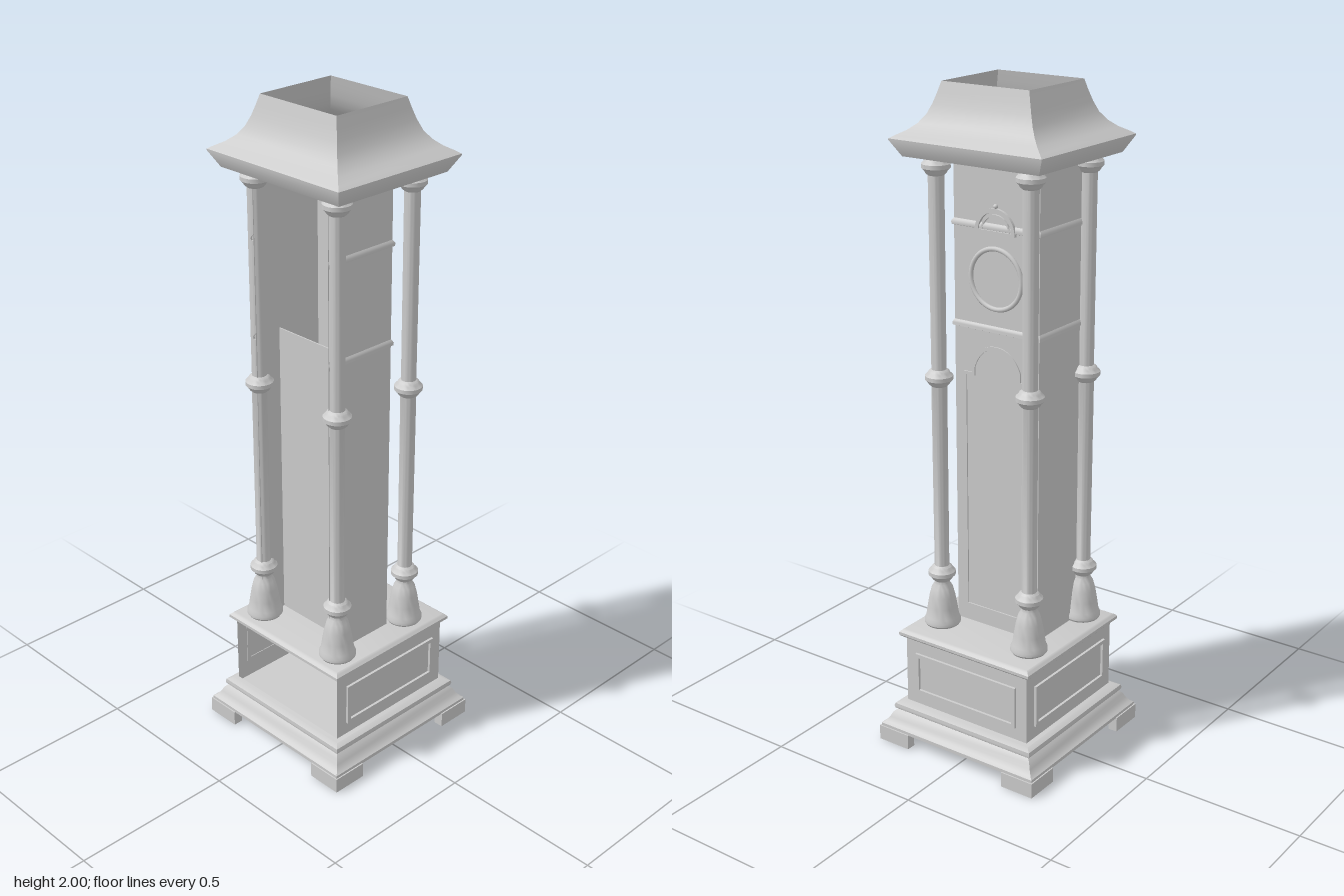
import * as THREE from 'three';
import { toCreasedNormals } from 'three/addons/utils/BufferGeometryUtils.js';

const grey = new THREE.MeshStandardMaterial({ color: 0xcccccc, side: THREE.DoubleSide });
const ROOF_X = -0.018; // the hood and columns sit slightly behind the plinth centre
const ALL = [0, 1, 2, 3];
const THREE_SIDES = [0, 1, 3]; // everything but the open -x side

function add(parent, name, geometry, x = 0, y = 0, z = 0) {
  const mesh = new THREE.Mesh(geometry, grey);
  mesh.name = name;
  mesh.position.set(x, y, z);
  parent.add(mesh);
  return mesh;
}

// Rectangular moulding with mitred corners: profile rows are [halfX, halfZ, y]
function rectShell(profile, sides = ALL) {
  const sx = [1, 1, -1, -1], sz = [1, -1, -1, 1];
  const pos = [], index = [];
  for (const k of sides) {
    const n = (k + 1) % 4, start = pos.length / 3;
    profile.forEach(([hx, hz, y], i) => {
      pos.push(sx[k] * hx, y, sz[k] * hz, sx[n] * hx, y, sz[n] * hz);
      if (i) {
        const a = start + 2 * (i - 1);
        index.push(a, a + 1, a + 3, a, a + 3, a + 2);
      }
    });
  }
  const g = new THREE.BufferGeometry();
  g.setAttribute('position', new THREE.Float32BufferAttribute(pos, 3));
  g.setIndex(index);
  return toCreasedNormals(g, 0.6);
}

const square = (rows) => rows.map(([h, y]) => [h, h, y]);

function extrude(shape, depth) {
  const g = new THREE.ExtrudeGeometry(shape, { depth, bevelEnabled: false, curveSegments: 24 });
  return toCreasedNormals(g, 0.6);
}

function rectPath(PathType, w, h) {
  return new PathType([[-w, -h], [w, -h], [w, h], [-w, h]].map(([x, y]) => new THREE.Vector2(x, y)));
}

// Door outline: straight sides, stepped shoulders and an arched head
function doorPath(PathType, inset) {
  const p = new PathType(), w = 0.115 - inset, s = 0.085 - inset;
  p.moveTo(-w, 0.42 + inset);
  p.lineTo(w, 0.42 + inset);
  p.lineTo(w, 1.17 - inset);
  p.lineTo(s, 1.17 - inset);
  p.lineTo(s, 1.195 - inset);
  p.quadraticCurveTo(s * 0.7, 1.26 - inset, 0, 1.26 - inset);
  p.quadraticCurveTo(-s * 0.7, 1.26 - inset, -s, 1.195 - inset);
  p.lineTo(-s, 1.17 - inset);
  p.lineTo(-w, 1.17 - inset);
  p.closePath();
  return p;
}

function halfRing(outer, inner) {
  const s = new THREE.Shape();
  s.absarc(0, 0, outer, 0, Math.PI, false);
  s.absarc(0, 0, inner, Math.PI, 0, true);
  s.closePath();
  return s;
}

function buildPlinth() {
  const plinth = new THREE.Group();
  plinth.name = 'plinth';

  // L-shaped bracket feet
  const foot = new THREE.Shape([[0.285, 0.285], [0.175, 0.285], [0.175, 0.255], [0.255, 0.255],
    [0.255, 0.175], [0.285, 0.175]].map(([x, y]) => new THREE.Vector2(x, y)));
  for (let i = 0; i < 4; i++) {
    const mesh = add(plinth, 'bracketFoot', extrude(foot, 0.047));
    mesh.rotation.set(-Math.PI / 2, 0, i * Math.PI / 2);
  }

  // Flared skirt and its lip
  add(plinth, 'skirt', rectShell(square([[0.25, 0.045], [0.281, 0.045], [0.281, 0.056], [0.272, 0.062],
    [0.262, 0.075], [0.255, 0.09], [0.245, 0.1], [0.25, 0.104], [0.252, 0.112], [0.25, 0.12],
    [0.235, 0.127], [0.222, 0.13]])));
  add(plinth, 'floor', new THREE.BoxGeometry(0.46, 0.008, 0.46), 0, 0.11, 0);

  // Case open at the back
  add(plinth, 'plinthCase', rectShell(square([[0.222, 0.11], [0.222, 0.345]]), THREE_SIDES));
  add(plinth, 'plinthTop', rectShell(square([[0, 0.345], [0.222, 0.345], [0.232, 0.347], [0.238, 0.353],
    [0.238, 0.362], [0.232, 0.368], [0.225, 0.372], [0, 0.372]])));

  // Framed panels on three sides
  for (const angle of [0, Math.PI / 2, Math.PI]) {
    const panel = new THREE.Group();
    panel.name = 'sidePanel';
    const frame = rectPath(THREE.Shape, 0.184, 0.066);
    frame.holes.push(rectPath(THREE.Path, 0.172, 0.054));
    add(panel, 'panelFrame', extrude(frame, 0.01), 0, 0.235, 0.22);
    panel.rotation.y = angle;
    plinth.add(panel);
  }
  return plinth;
}

function buildTrunk() {
  const trunk = new THREE.Group();
  trunk.name = 'trunk';
  const hx = 0.121, hz = 0.147, cx = -0.06, face = cx + hx;

  add(trunk, 'trunkWalls', rectShell([[hx, hz, 0.37], [hx, hz, 1.8]], THREE_SIDES), cx);
  add(trunk, 'innerBackboard', new THREE.BoxGeometry(0.004, 0.94, 2 * hz), -0.09, 0.84, 0);

  // String mouldings around the sides
  for (const y of [1.31, 1.605]) {
    const band = [[0, -0.01], [0.005, -0.008], [0.006, 0], [0.003, 0.006], [0, 0.01]]
      .map(([o, dy]) => [hx + o, hz + o, y + dy]);
    add(trunk, 'stringMoulding', rectShell(band, THREE_SIDES), cx);
  }

  // Door, dial ring and arch, all on the +x face
  const front = new THREE.Group();
  front.name = 'trunkFront';
  const frame = doorPath(THREE.Shape, 0);
  frame.holes.push(doorPath(THREE.Path, 0.009));
  add(front, 'doorFrame', extrude(frame, 0.004));
  add(front, 'dialRing', new THREE.TorusGeometry(0.087, 0.007, 10, 48), 0, 1.458, 0.002);
  add(front, 'archRing', extrude(halfRing(0.068, 0.057), 0.009), 0, 1.592, 0);
  add(front, 'archInnerRing', extrude(halfRing(0.05, 0.045), 0.006), 0, 1.592, 0);
  add(front, 'archSill', new THREE.BoxGeometry(0.136, 0.008, 0.016), 0, 1.592, 0);
  add(front, 'archFinial', new THREE.SphereGeometry(0.007, 12, 8), 0, 1.665, 0.003);
  front.rotation.y = Math.PI / 2;
  front.position.x = face;
  trunk.add(front);
  return trunk;
}

// Turned column: vase foot, collars, and a ring at mid height and top
function columnGeometry() {
  const ring = (y) => [[0.023, y - 0.026], [0.03, y - 0.02], [0.033, y - 0.014], [0.041, y - 0.006],
    [0.041, y + 0.006], [0.033, y + 0.014], [0.03, y + 0.02], [0.022, y + 0.025]];
  const profile = [[0, 0.371], [0.05, 0.371], [0.055, 0.378], [0.055, 0.388], [0.05, 0.398],
    [0.045, 0.43], [0.039, 0.465], [0.032, 0.492], [0.024, 0.505],
    ...ring(0.54), ...ring(1.157), ...ring(1.77), [0.03, 1.797]];
  const g = new THREE.LatheGeometry(profile.map(([r, y]) => new THREE.Vector2(r, y)), 28);
  return toCreasedNormals(g, 0.6);
}

function buildHood() {
  const hood = new THREE.Group();
  hood.name = 'hood';
  // Flat soffit, canted cornice, then a concave sweep to the open top
  const sweep = [[0.099, 1.847], [0.088, 1.855], [0.065, 1.869], [0.045, 1.887],
    [0.029, 1.91], [0.017, 1.94], [0.008, 1.97], [0, 2.0]];
  add(hood, 'hoodShell', rectShell([[0.203, 0.228, 1.797], [0.229, 0.254, 1.843],
    ...sweep.map(([o, y]) => [0.13 + o, 0.145 + o * 1.1, y])]), ROOF_X);
  add(hood, 'soffit', new THREE.BoxGeometry(0.405, 0.004, 0.455), ROOF_X, 1.799, 0);
  return hood;
}

export function createModel() {
  const model = new THREE.Group();
  model.name = 'longcaseClock';
  model.add(buildPlinth(), buildTrunk(), buildHood());
  const column = columnGeometry();
  for (const x of [-0.16, 0.123]) {
    for (const z of [-0.16, 0.16]) add(model, 'column', column, x, 0, z);
  }
  return model;
}
